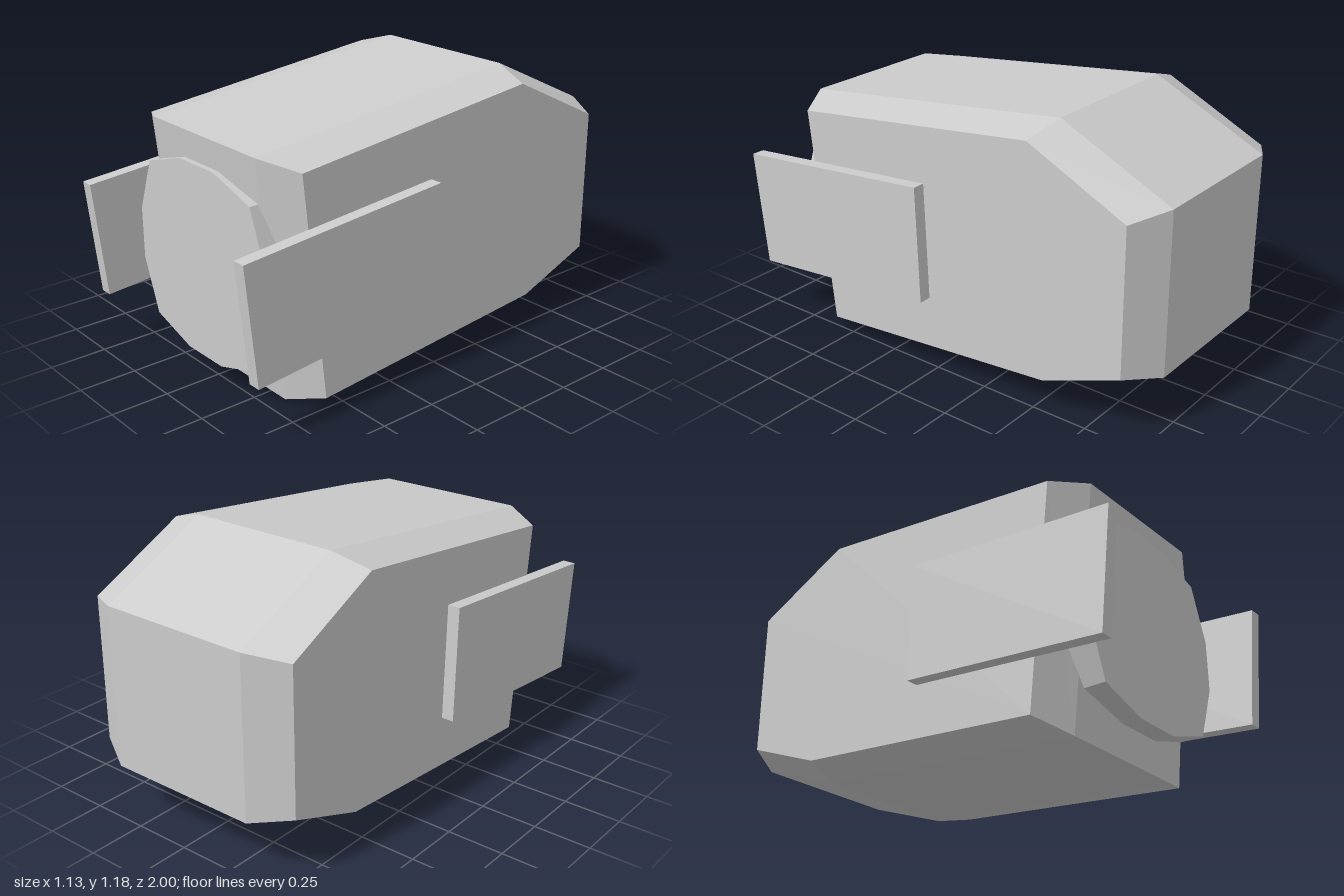
import * as THREE from 'three';

const material = new THREE.MeshStandardMaterial({ color: 0xcccccc, flatShading: true });

// Skins a row of convex rings (counterclockwise seen from the last ring's end) and caps both ends
function loft(name, rings) {
  const pos = [];
  const tri = (a, b, c) => pos.push(...a, ...b, ...c);
  const n = rings[0].length;
  for (let r = 0; r + 1 < rings.length; r++) {
    const a = rings[r], b = rings[r + 1];
    for (let i = 0; i < n; i++) {
      const j = (i + 1) % n;
      tri(a[i], a[j], b[j]);
      tri(a[i], b[j], b[i]);
    }
  }
  const first = rings[0], last = rings[rings.length - 1];
  for (let i = 1; i + 1 < n; i++) {
    tri(first[0], first[i + 1], first[i]);
    tri(last[0], last[i], last[i + 1]);
  }
  const geometry = new THREE.BufferGeometry();
  geometry.setAttribute('position', new THREE.Float32BufferAttribute(pos, 3));
  geometry.computeVertexNormals();
  const mesh = new THREE.Mesh(geometry, material);
  mesh.name = name;
  return mesh;
}

// Places a [z, y] side profile at a given x
const at = (x, profile) => profile.map(([z, y]) => [x, y, z]);

export function createModel() {
  const model = new THREE.Group();
  model.name = 'model';

  // Housing: full profile across the middle, inset profile on the flanks
  const middle = [[0.665, 0.003], [-0.6, 0.11], [-1, 0.25], [-1, 0.945], [-0.5, 1.183], [0.78, 1.042]];
  const flank = [[0.59, 0.053], [-0.555, 0.15], [-0.91, 0.285], [-0.91, 0.916], [-0.465, 1.133], [0.69, 1.006]];
  model.add(loft('housing', [at(-0.51, flank), at(-0.343, middle), at(0.343, middle), at(0.51, flank)]));

  // Front plate: twelve-sided, flat in front, its back edge following the housing; half outline as [x, y, back z]
  const half = [[0.115, 0.107, 0.728], [0.345, 0.178, 0.715], [0.432, 0.408, 0.675],
    [0.432, 0.63, 0.715], [0.345, 0.86, 0.77], [0.115, 0.931, 0.787]];
  const back = [...half, ...half.map(([x, y, z]) => [-x, y, z]).reverse()];
  model.add(loft('frontPlate', [back, back.map(([x, y]) => [x, y, 0.81])]));

  // Side panels, reaching forward past the housing
  const panel = [[0.95, 0.246], [0.03, 0.328], [0.046, 0.835], [1, 0.754]];
  model.add(loft('leftPanel', [at(0.508, panel), at(0.565, panel)]));
  model.add(loft('rightPanel', [at(-0.565, panel), at(-0.508, panel)]));

  return model;
}
